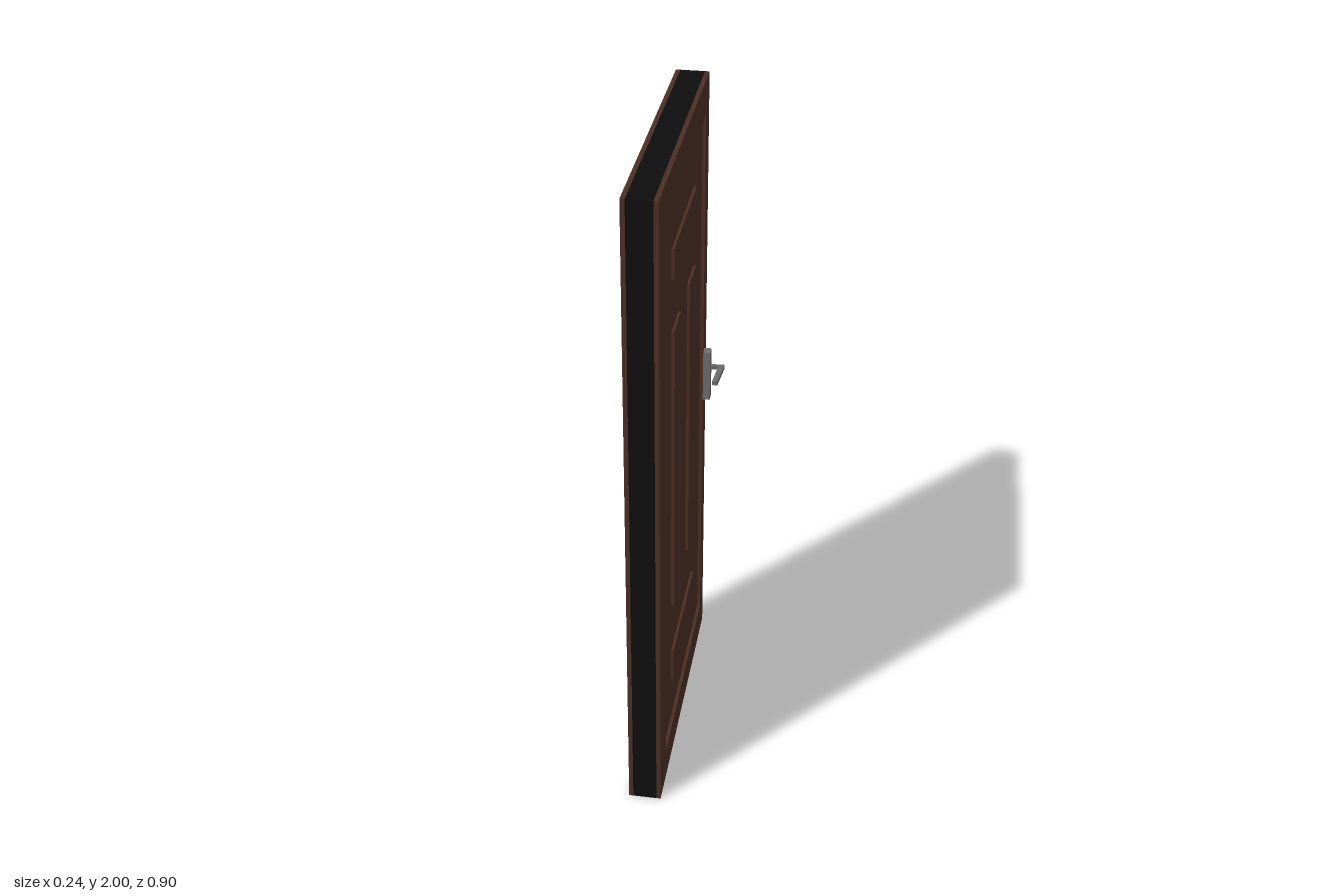
import * as THREE from 'three';

const wood = new THREE.MeshStandardMaterial({ color: 0x4a2f25 });
wood.name = 'brown wood';
const dark = new THREE.MeshStandardMaterial({ color: 0x0e0e0e });
dark.name = 'black core';
const metal = new THREE.MeshStandardMaterial({ color: 0x6c6c6c });
metal.name = 'grey metal';

// Box given by its minimum and maximum corners
function block(name, material, min, max) {
  const size = max.map((v, i) => v - min[i]);
  const mesh = new THREE.Mesh(new THREE.BoxGeometry(...size), material);
  mesh.position.set(...max.map((v, i) => (v + min[i]) / 2));
  mesh.name = name;
  return mesh;
}

// Flat-faced skin from nested rectangular rings [half width, bottom, top, x], closed by the last ring
function ringSkin(rings) {
  const loops = rings.map(([w, y0, y1, x]) => [[x, y0, w], [x, y0, -w], [x, y1, -w], [x, y1, w]]);
  const pos = [];
  const quad = (a, b, c, d) => pos.push(...a, ...b, ...c, ...a, ...c, ...d);
  for (let i = 0; i < loops.length - 1; i++) {
    for (let k = 0; k < 4; k++) {
      const n = (k + 1) % 4;
      quad(loops[i][k], loops[i][n], loops[i + 1][n], loops[i + 1][k]);
    }
  }
  quad(...loops[loops.length - 1]);
  const geo = new THREE.BufferGeometry();
  geo.setAttribute('position', new THREE.Float32BufferAttribute(pos, 3));
  geo.computeVertexNormals();
  return geo;
}

// Everything on one face of the door
function createFace() {
  const face = new THREE.Group();

  // Mitred frame around a sunken field
  const skin = new THREE.Mesh(ringSkin([
    [0.45, 0, 2, 0.036],
    [0.45, 0, 2, 0.049],
    [0.367, 0.12, 1.9, 0.052],
    [0.367, 0.12, 1.9, 0.042],
  ]), wood);
  skin.name = 'framedSkin';
  face.add(skin);

  // Raised panels: [z min, z max, y min, y max]
  const panels = [
    [-0.203, 0.203, 1.66, 1.75],
    [-0.203, -0.083, 0.56, 1.5],
    [0.083, 0.203, 0.56, 1.5],
    [-0.203, 0.203, 0.27, 0.385],
  ];
  for (const [z0, z1, y0, y1] of panels) {
    face.add(block('raisedPanel', wood, [0.04, y0, z0], [0.05, y1, z1]));
  }

  // Handle plate and bent lever
  const handle = new THREE.Group();
  handle.name = 'handle';
  handle.add(block('handlePlate', metal, [0.05, 0.945, -0.4], [0.074, 1.115, -0.369]));
  const outline = [[0.07, -0.383], [0.118, -0.386], [0.109, -0.279], [0.093, -0.279], [0.1, -0.377], [0.07, -0.374]];
  const shape = new THREE.Shape(outline.map(([x, z]) => new THREE.Vector2(x, -z)));
  const geo = new THREE.ExtrudeGeometry(shape, { depth: 0.014, bevelEnabled: false });
  geo.rotateX(-Math.PI / 2).translate(0, 1.054, 0);
  const lever = new THREE.Mesh(geo, metal);
  lever.name = 'handleLever';
  handle.add(lever);
  face.add(handle);
  return face;
}

export function createModel() {
  const door = new THREE.Group();
  door.name = 'door';
  door.add(block('doorCore', dark, [-0.036, 0, -0.45], [0.036, 2, 0.45]));
  for (const side of [1, -1]) {
    const face = createFace();
    face.name = side > 0 ? 'leftFace' : 'rightFace';
    face.scale.x = side;
    door.add(face);
  }
  return door;
}
